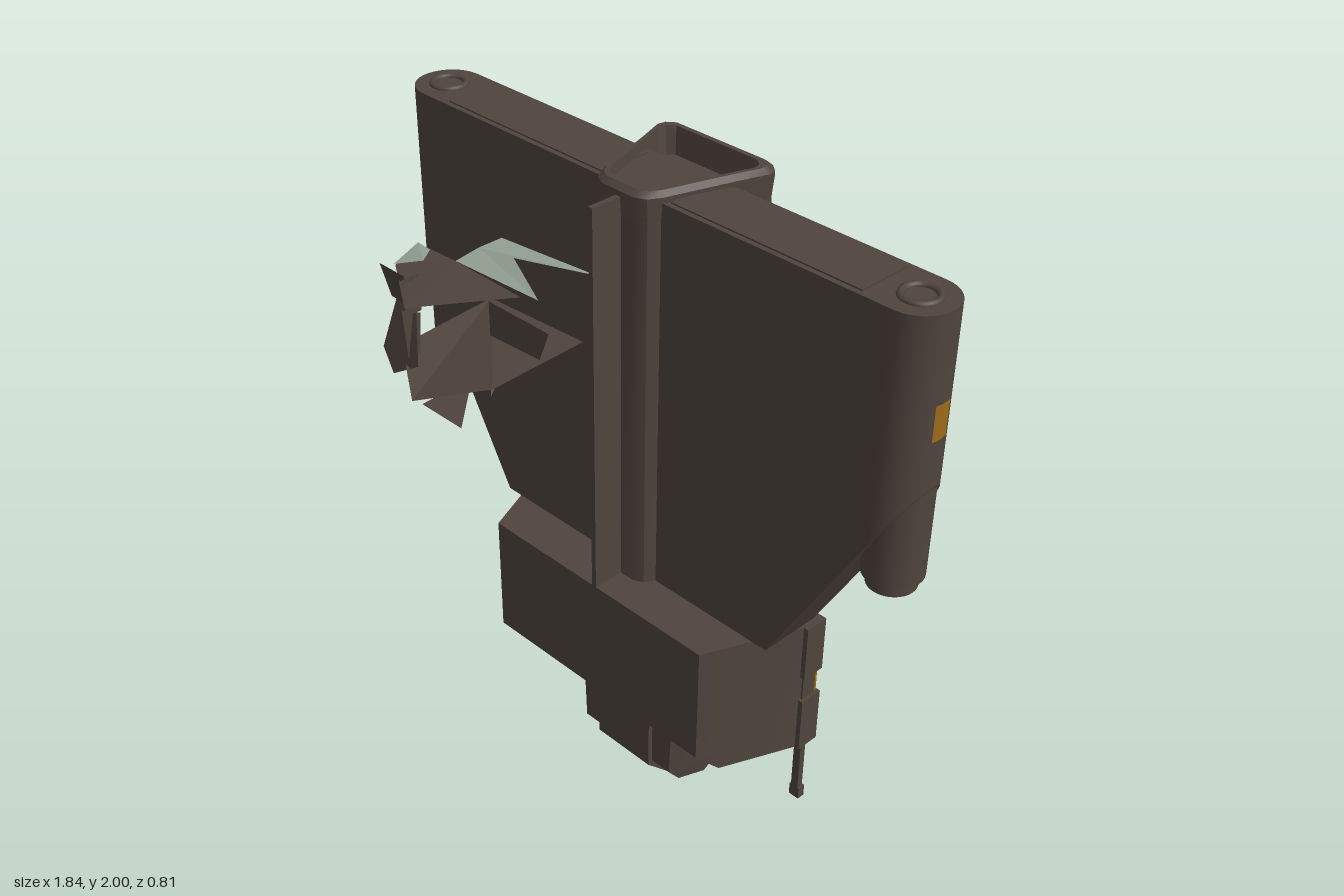
import * as THREE from 'three';
import { toCreasedNormals } from 'three/addons/utils/BufferGeometryUtils.js';

const mat = (name, color) =>
  new THREE.MeshStandardMaterial({ name, color, side: THREE.DoubleSide });

export function createModel() {
  const group = new THREE.Group();
  const brown = mat('dark brown hull', 0x50443d);
  const amber = mat('amber lamp', 0x9c6a18);
  const pale = mat('pale torn metal', 0x93a092);

  const add = (name, geo, m = brown, x = 0, y = 0, z = 0) => {
    const mesh = new THREE.Mesh(geo, m);
    mesh.name = name;
    mesh.position.set(x, y, z);
    group.add(mesh);
    return mesh;
  };
  const box = (name, x0, x1, y0, y1, z0, z1, m) =>
    add(name, new THREE.BoxGeometry(x1 - x0, y1 - y0, z1 - z0), m,
      (x0 + x1) / 2, (y0 + y1) / 2, (z0 + z1) / 2);

  // mirrored plan outline from its +x half, listed front to back
  const sym = (half) => [...half, ...half.map(([x, z]) => [-x, z]).reverse()];

  // stacked plan outlines [y, points]; y may be a function of x
  const loft = (sections, capTop = true) => {
    const rings = sections.map(([y, pts]) =>
      pts.map(([x, z]) => [x, typeof y === 'function' ? y(x) : y, z]));
    const n = rings[0].length, pos = [];
    const tri = (a, b, c) => pos.push(...a, ...b, ...c);
    for (let k = 0; k + 1 < rings.length; k++) {
      for (let i = 0; i < n; i++) {
        const j = (i + 1) % n, lo = rings[k], hi = rings[k + 1];
        tri(lo[i], lo[j], hi[j]);
        tri(lo[i], hi[j], hi[i]);
      }
    }
    const top = rings[rings.length - 1], bot = rings[0];
    for (let i = 1; i + 1 < n; i++) {
      if (capTop) tri(top[0], top[i], top[i + 1]);
      tri(bot[0], bot[i + 1], bot[i]);
    }
    const g = new THREE.BufferGeometry();
    g.setAttribute('position', new THREE.Float32BufferAttribute(pos, 3));
    g.computeVertexNormals();
    return toCreasedNormals(g, 0.5);
  };

  // thin sheet fanned from its first point
  const sheet = (name, pts, m = brown) => {
    const pos = [];
    for (let i = 1; i + 1 < pts.length; i++) pos.push(...pts[0], ...pts[i], ...pts[i + 1]);
    const g = new THREE.BufferGeometry();
    g.setAttribute('position', new THREE.Float32BufferAttribute(pos, 3));
    g.computeVertexNormals();
    add(name, g, m);
  };

  // wings: flat centre, rounded outer edges cut off by a slope
  const zc = -0.142, r = 0.097;
  box('wingCentre', -0.52, 0.52, 0.8, 1.97, zc - r, zc + r);
  for (const s of [-1, 1]) {
    const plan = [[s * 0.52, zc + r]];
    for (let i = 0; i <= 16; i++) {
      const a = Math.PI * (0.5 - i / 16);
      plan.push([s * (0.818 + r * Math.cos(a)), zc + r * Math.sin(a)]);
    }
    plan.push([s * 0.52, zc - r]);
    if (s < 0) plan.reverse();
    add('wing', loft([[(x) => 0.8 + (Math.abs(x) - 0.52) * 1.75, plan], [1.97, plan]]));

    // tip barrels
    const x = s * 0.83;
    add('tipBarrel', new THREE.CylinderGeometry(0.082, 0.082, 0.4, 32), brown, x, 1.4, zc);
    add('barrelNozzle', new THREE.CylinderGeometry(0.067, 0.067, 0.04, 32, 1, true), brown, x, 1.185, zc);
    const ring = add('nozzleRim', new THREE.RingGeometry(0.045, 0.067, 32), brown, x, 1.166, zc);
    ring.rotation.x = Math.PI / 2;
    add('nozzleLamp', new THREE.CylinderGeometry(0.045, 0.045, 0.006, 24), amber, x, 1.185, zc);
    const topRing = add('barrelTopRing', new THREE.TorusGeometry(0.046, 0.01, 8, 32), brown, s * 0.82, 1.97, zc);
    topRing.rotation.x = Math.PI / 2;
    box('wingTopPanel', s < 0 ? -0.72 : 0.12, s < 0 ? -0.12 : 0.72, 1.97, 1.974, zc - 0.082, zc + 0.082);

    // amber marker wrapped on the wing edge
    const mark = add('edgeLamp', new THREE.CylinderGeometry(r + 0.003, r + 0.003, 0.1, 8, 1, true,
      s * Math.PI / 2 - 0.26, 0.52), amber, s * 0.818, 1.68, zc);
    mark.name = 'edgeLamp';
  }

  // central column with an open, bevelled cap
  const column = (k) => sym([[0.055, 0], [0.085, -0.015], [0.105, -0.05], [0.165, -0.24],
    [0.195, -0.325], [0.19, -0.35], [0.165, -0.37]]
    .map(([x, z]) => [x * k, -0.185 + (z + 0.185) * k]));
  add('column', loft([[0.8, column(1)], [1.92, column(1)]]));
  add('columnCap', loft([[1.92, column(1)], [1.97, column(1.02)], [1.985, column(1.02)],
    [2, column(0.94)], [2, column(0.86)], [1.925, column(0.8)]]));
  box('frontFin', -0.008, 0.008, 0.8, 1.97, -0.01, 0.097);
  box('backPanel', -0.145, 0.145, 1.14, 1.64, -0.379, -0.36);
  box('backPanelLip', -0.12, 0.1, 1.14, 1.2, -0.387, -0.36);
  box('backLamp', -0.025, 0.025, 1.89, 1.97, -0.374, -0.368, amber);

  // lower housing with a chamfered front edge
  const housing = (fx, fz) => sym([[fx, fz], [0.53, -0.19], [0.53, -0.24]]);
  add('lowerHousing', loft([[0.355, housing(0.438, 0.03)], [0.42, housing(0.41, 0.097)],
    [0.8, housing(0.41, 0.097)]]));
  add('rearHump', loft([0.355, 0.8].map((y) =>
    [y, sym([[0.27, -0.2], [0.27, -0.265], [0.215, -0.385], [0.19, -0.405]])])));
  box('humpLamp', -0.07, 0.07, 0.797, 0.803, -0.407, -0.385, amber);

  // side clamps, lamps and legs
  for (const s of [-1, 1]) {
    const side = (name, a, b, y0, y1, z0, z1, m) =>
      box(name, Math.min(s * a, s * b), Math.max(s * a, s * b), y0, y1, z0, z1, m);
    side('upperClamp', 0.2, 0.545, 0.62, 0.8, -0.265, -0.19);
    side('lowerClamp', 0.2, 0.545, 0.355, 0.535, -0.265, -0.19);
    side('clampCore', 0.2, 0.535, 0.535, 0.62, -0.25, -0.2);
    side('clampLamp', 0.455, 0.537, 0.54, 0.615, -0.255, -0.248, amber);
    side('leg', 0.5, 0.525, 0.12, 0.36, -0.245, -0.225);
    side('foot', 0.495, 0.53, 0.12, 0.16, -0.25, -0.225);
  }

  // tapered tail and its keel block
  add('tail', loft([
    [0.04, sym([[0.17, -0.09], [0.2, -0.17], [0.15, -0.355]])],
    [0.11, sym([[0.18, -0.035], [0.205, -0.17], [0.155, -0.36]])],
    [0.36, sym([[0.19, -0.035], [0.23, -0.17], [0.165, -0.36]])]]));
  add('tailKeel', loft([
    [0, sym([[0.108, -0.12], [0.108, -0.25]])],
    [0.1, sym([[0.108, -0.02], [0.108, -0.25]])],
    [0.36, sym([[0.108, -0.02], [0.108, -0.25]])]]));

  // torn sheets on the front of the right wing
  sheet('tornTopSheet', [[-0.43, 1.7, 0.1], [-0.43, 1.7, 0.02], [-0.1, 1.7, -0.02],
    [-0.3, 1.715, 0.09], [-0.11, 1.7, 0.175], [-0.43, 1.69, 0.18]], pale);
  sheet('tornTopFlap', [[-0.43, 1.69, 0.18], [-0.16, 1.695, 0.19], [-0.37, 1.66, 0.4],
    [-0.56, 1.665, 0.28], [-0.56, 1.7, 0.2]]);
  sheet('tornTopCorner', [[-0.56, 1.703, 0.2], [-0.51, 1.7, 0.2], [-0.49, 1.69, 0.24],
    [-0.56, 1.67, 0.285]], pale);
  sheet('tornLowerSheet', [[-0.56, 1.44, -0.04], [-0.18, 1.46, -0.04], [-0.18, 1.45, 0.28],
    [-0.37, 1.38, 0.4], [-0.56, 1.42, 0.28]]);
  sheet('tornLowerSpike', [[-0.3, 1.42, 0.25], [-0.18, 1.38, 0.39], [-0.34, 1.38, 0.39]]);
  sheet('tornPost', [[-0.56, 1.69, 0.33], [-0.46, 1.69, 0.33], [-0.46, 1.58, 0.3], [-0.56, 1.58, 0.3]]);
  sheet('tornPostSide', [[-0.46, 1.68, 0.34], [-0.46, 1.68, 0.28], [-0.46, 1.57, 0.28], [-0.46, 1.57, 0.33]]);
  sheet('tornStrut', [[-0.55, 1.58, 0.29], [-0.47, 1.58, 0.29], [-0.44, 1.42, 0.32],
    [-0.54, 1.36, 0.33], [-0.59, 1.42, 0.32]]);
  sheet('tornStrutSide', [[-0.48, 1.58, 0.33], [-0.48, 1.55, 0.27], [-0.48, 1.43, 0.28], [-0.48, 1.43, 0.32]]);
  sheet('tornWallPlate', [[-0.4, 1.55, 0.1], [-0.4, 1.25, 0.1], [-0.29, 1.23, 0.1], [-0.28, 1.28, 0.1],
    [-0.12, 1.27, 0.1], [-0.24, 1.35, 0.1], [-0.16, 1.55, 0.1]]);
  sheet('tornWallSpike', [[-0.45, 1.4, 0.105], [-0.45, 1.2, 0.105], [-0.38, 1.36, 0.105]]);
  sheet('tornWallChip', [[-0.4, 1.38, 0.108], [-0.4, 1.25, 0.108], [-0.375, 1.3, 0.108]], pale);
  return group;
}
